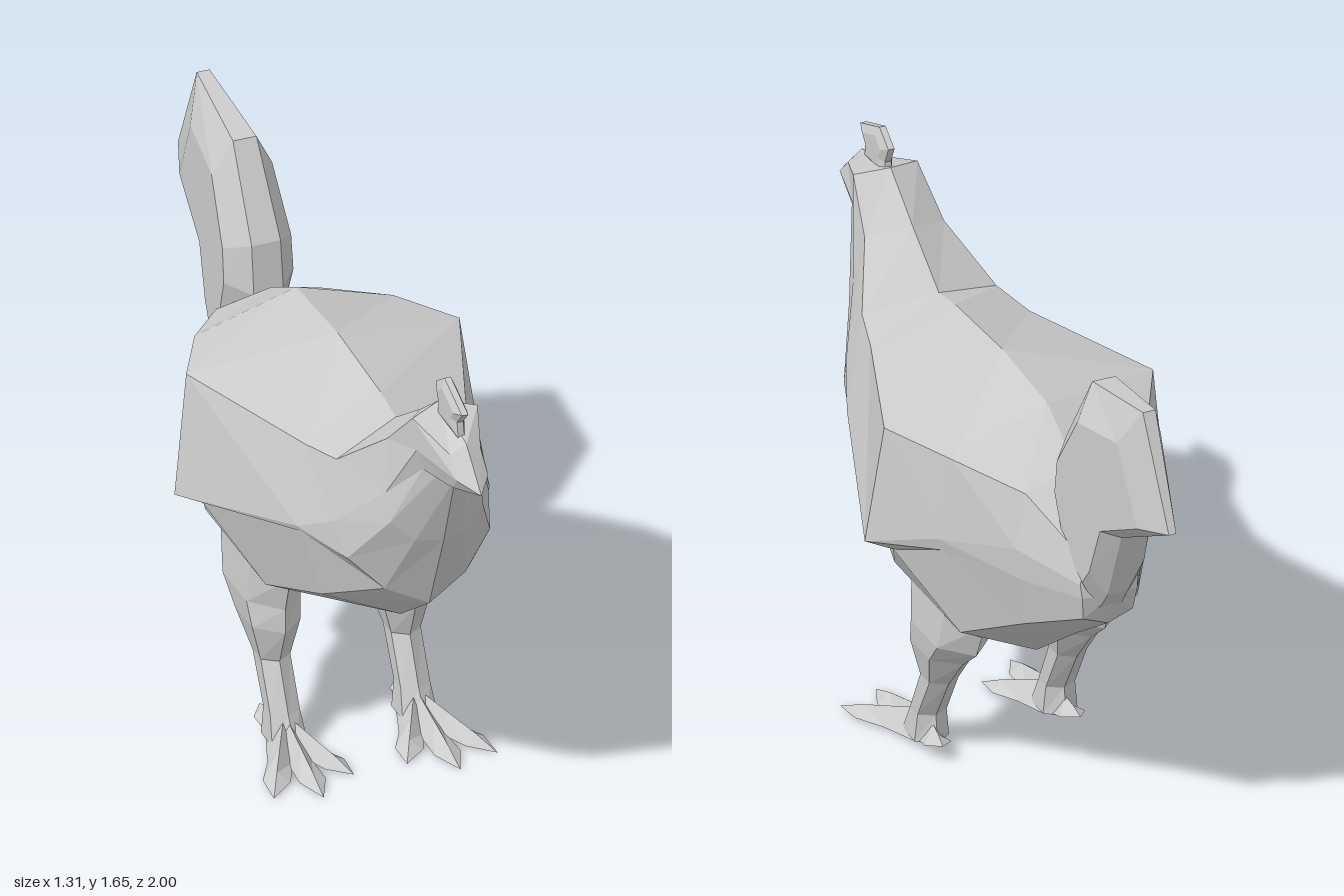
import * as THREE from 'three';

const material = new THREE.MeshStandardMaterial({ color: 0xcccccc, flatShading: true });
const { lerp, mapLinear } = THREE.MathUtils;

// Skin a list of closed rings of [x, y, z]; both ends close on a point.
function loft(name, rings, startTip, endTip) {
  const mean = (ring) => [0, 1, 2].map((k) => ring.reduce((sum, p) => sum + p[k], 0) / ring.length);
  const tris = [];
  const n = rings[0].length;
  const end = rings[rings.length - 1];
  const first = startTip || mean(rings[0]);
  const last = endTip || mean(end);
  for (let j = 0; j < n; j++) {
    const k = (j + 1) % n;
    tris.push([first, rings[0][k], rings[0][j]]);
    for (let i = 0; i < rings.length - 1; i++) {
      const a = rings[i], b = rings[i + 1];
      tris.push([a[j], a[k], b[j]], [a[k], b[k], b[j]]);
    }
    tris.push([end[j], end[k], last]);
  }
  // Turn the skin outward when its signed volume is negative
  const v = (p) => new THREE.Vector3(...p);
  const volume = tris.reduce((sum, [a, b, c]) => sum + v(a).dot(v(b).cross(v(c))), 0);
  if (volume < 0) tris.forEach((t) => t.reverse());
  const geometry = new THREE.BufferGeometry();
  geometry.setAttribute('position', new THREE.Float32BufferAttribute(tris.flat(2), 3));
  geometry.computeVertexNormals();
  const mesh = new THREE.Mesh(geometry, material);
  mesh.name = name;
  return mesh;
}

// Ring from a half section: ridge and keel [forward, height], sides [forward, side, height]
function mirrored([ridge, ...rest]) {
  const keel = rest.pop();
  const centre = ([f, y]) => [0, y, f];
  const left = rest.map(([f, s, y]) => [s, y, f]);
  const right = left.map(([x, y, z]) => [-x, y, z]).reverse();
  return [centre(ridge), ...left, centre(keel), ...right];
}

// Upright plate on the centre plane with a narrow rim and a thicker middle
function plate(name, outline, inset, rim, thickness) {
  const cf = outline.reduce((sum, p) => sum + p[0], 0) / outline.length;
  const cy = outline.reduce((sum, p) => sum + p[1], 0) / outline.length;
  const edge = (side) => outline.map(([f, y]) => [side * rim(f), y, f]);
  const inner = (side) => outline.map(([f, y]) => {
    const z = lerp(cf, f, inset);
    return [side * thickness(z), lerp(cy, y, inset), z];
  });
  return loft(name, [inner(1), edge(1), edge(-1), inner(-1)]);
}

// Upright limb from [forward, side, height, depth radius, width radius]
function limb(name, sections) {
  return loft(name, sections.map(([f, s, y, rf, rs]) => Array.from({ length: 6 }, (_, i) => {
    const a = i * Math.PI / 3;
    return [s + rs * Math.sin(a), y, f + rf * Math.cos(a)];
  })));
}

// Toe tapering from the ankle to a pointed tip
function toe(name, from, to) {
  const d = new THREE.Vector2(to[0] - from[0], to[1] - from[1]).normalize();
  const ring = (t, w, h) => {
    const [f, s, y] = from.map((c, k) => lerp(c, to[k], t));
    const base = Math.max(0.002, y - h);
    return [[s - d.x * w, base + 0.01, f + d.y * w], [s, y + h, f],
      [s + d.x * w, base + 0.01, f - d.y * w], [s, base, f]];
  };
  return loft(name, [ring(0, 0.055, 0.05), ring(0.4, 0.038, 0.033), ring(0.72, 0.042, 0.02)],
    null, [to[1], to[2], to[0]]);
}

export function createModel() {
  const bird = new THREE.Group();
  bird.name = 'bird';

  // Body, neck and head: back ridge, shoulder, wing edge, under wing, flank, keel
  const rings = [
    [[-.48, 1.2], [-.5, .17, 1.15], [-.52, .21, .98], [-.53, .2, .88], [-.5, .18, .71], [-.5, .64]],
    [[-.28, 1.31], [-.3, .32, 1.2], [-.28, .36, .93], [-.28, .35, .89], [-.29, .29, .6], [-.2, .43]],
    [[.05, 1.33], [-.07, .44, 1.22], [-.04, .49, .83], [-.07, .41, .8], [.19, .29, .6], [.2, .48]],
    [[.39, 1.31], [.43, .26, 1.21], [.49, .31, .97], [.5, .3, .955], [.51, .24, .73], [.55, .63]],
    [[.51, 1.29], [.58, .22, 1.23], [.63, .25, 1.05], [.69, .23, .95], [.74, .13, .85], [.775, .79]],
    [[.7, 1.42], [.76, .13, 1.38], [.8, .15, 1.22], [.83, .15, 1.13], [.86, .08, 1.07], [.89, 1.07]],
    [[.86, 1.54], [.9, .105, 1.52], [.92, .1, 1.42], [.92, .08, 1.35], [.95, .05, 1.335], [.98, 1.33]],
    [[1.07, 1.5], [1.06, .05, 1.47], [1.12, .05, 1.41], [1.07, .045, 1.36], [1.05, .025, 1.345], [1.05, 1.34]],
  ].map(mirrored);
  // The rump narrows the rearmost ring toward the tail root
  const tailRoot = [0, .9, -.9];
  const rump = rings[0].map((p) => p.map((c, k) => lerp(c, tailRoot[k], .55)));
  bird.add(loft('body', [rump, ...rings], [0, .9, -.76], [0, 1.385, 1.19]));

  // Tail and comb
  bird.add(plate('tail', [[-.5, 1.17], [-.52, 1.33], [-.69, 1.6], [-1.02, 1.655], [-1.19, 1.32],
    [-.88, 1.16], [-.79, .92], [-.73, .84], [-.58, .95]], .7,
  (f) => mapLinear(f, -1.19, -.55, .012, .045), (f) => mapLinear(f, -1.1, -.6, .055, .11)));
  bird.add(plate('comb', [[1.03, 1.5], [1.02, 1.55], [1.06, 1.595], [.92, 1.65], [.855, 1.605],
    [.88, 1.55], [.87, 1.5]], .65, () => .01, () => .022));

  // Legs and feet
  for (const side of [1, -1]) {
    const leg = new THREE.Group();
    leg.name = side > 0 ? 'leftLeg' : 'rightLeg';
    const s = side * .21;
    leg.add(limb('shank', [
      [-.05, s, .72, .2, .06], [-.05, s, .6, .24, .09], [-.04, s, .47, .19, .1], [.01, s, .39, .14, .09],
      [.04, s, .27, .065, .055], [.12, s, .12, .055, .055], [.14, s, .03, .09, .065],
    ]));
    leg.add(toe('middleToe', [.14, s, .06], [.48, side * .22, .005]));
    leg.add(toe('outerToe', [.14, s, .06], [.43, side * .36, .005]));
    leg.add(toe('innerToe', [.14, s, .06], [.39, side * .085, .005]));
    leg.add(toe('backToe', [.14, s, .055], [-.02, side * .225, .06]));
    bird.add(leg);
  }

  // Stand the bird diagonally
  bird.rotation.y = Math.atan2(.65, 1);
  const model = new THREE.Group();
  model.name = 'chicken';
  model.add(bird);
  return model;
}
